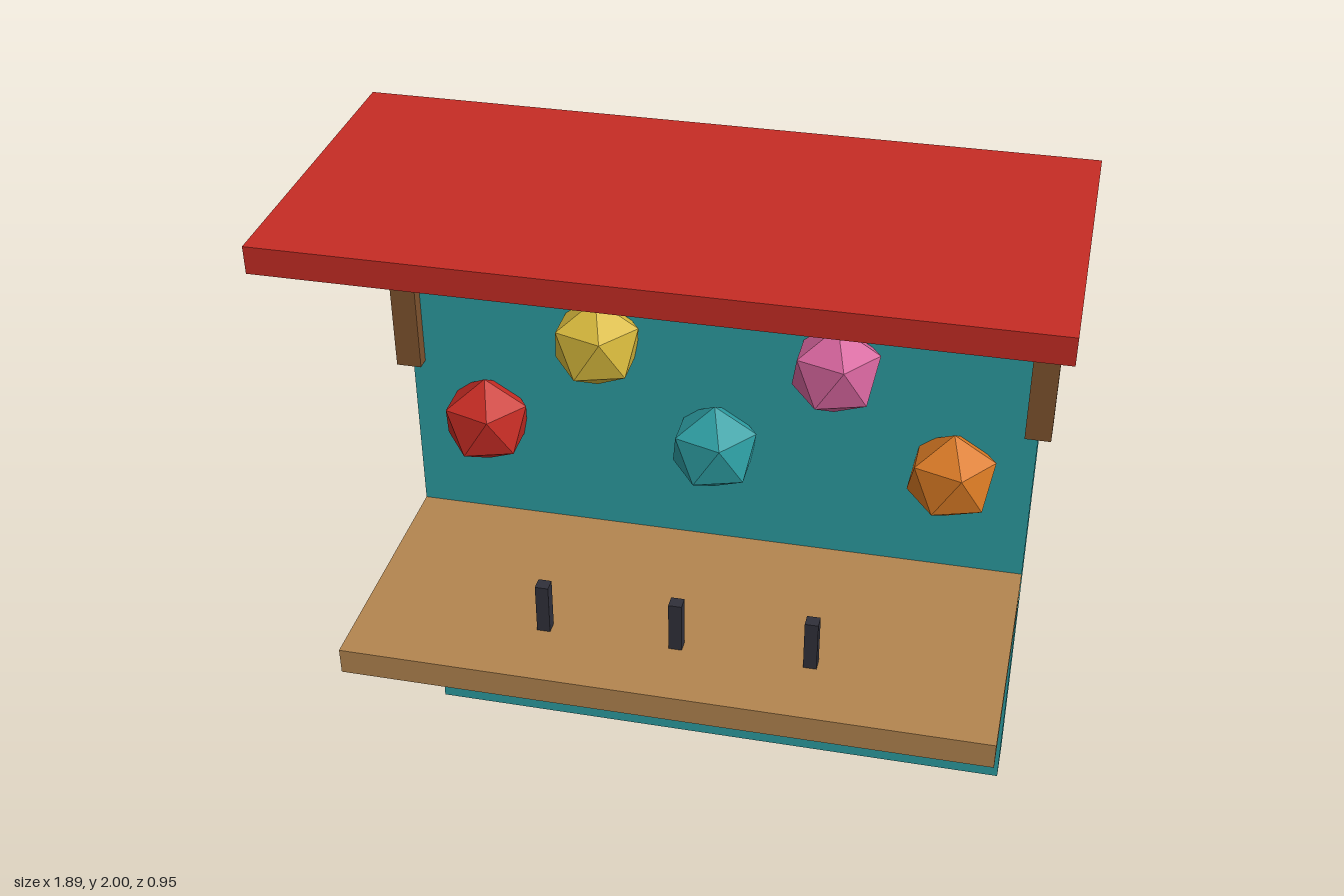
import * as THREE from 'three';

const paint = (name, color) => {
  const m = new THREE.MeshStandardMaterial({ color });
  m.name = name;
  return m;
};

export function createModel() {
  const red = paint('red', 0xc62c24);
  const teal = paint('teal', 0x2d9da2);
  const lightWood = paint('light wood', 0xb3854f);
  const darkWood = paint('dark wood', 0x7f532e);
  const charcoal = paint('charcoal', 0x30303a);
  const yellow = paint('yellow', 0xd6b83c);
  const pink = paint('pink', 0xd4649c);
  const orange = paint('orange', 0xd97a24);

  const model = new THREE.Group();
  model.name = 'balloonStall';

  const add = (name, geometry, material, x, y, z) => {
    const mesh = new THREE.Mesh(geometry, material);
    mesh.name = name;
    mesh.position.set(x, y, z);
    model.add(mesh);
  };
  // Box given by its limits on each axis
  const box = (name, material, [x0, x1], [y0, y1], [z0, z1]) =>
    add(name, new THREE.BoxGeometry(x1 - x0, y1 - y0, z1 - z0), material,
      (x0 + x1) / 2, (y0 + y1) / 2, (z0 + z1) / 2);

  // Back board, counter and awning
  box('backBoard', teal, [-0.872, 0.872], [0, 1.6], [-0.473, -0.328]);
  box('counter', lightWood, [-0.872, 0.872], [0.692, 0.766], [-0.33, 0.4]);
  box('awning', red, [-0.943, 0.943], [1.93, 2], [-0.4, 0.473]);

  // Awning posts
  for (const [name, x] of [['leftPost', 0.872], ['rightPost', -0.872]])
    box(name, darkWood, [x - 0.035, x + 0.035], [1.238, 1.932], [-0.363, -0.29]);

  // Darts standing on the counter
  for (const x of [-0.363, 0, 0.363])
    box('dart', charcoal, [x - 0.018, x + 0.018], [0.766, 0.911], [0.167, 0.203]);

  // Faceted balloons, turned to stand on a point
  const balloon = new THREE.IcosahedronGeometry(0.131, 0);
  balloon.rotateZ(-Math.atan(2 / (1 + Math.sqrt(5))));
  for (const [material, x, y] of [
    [yellow, -0.327, 1.383], [pink, 0.327, 1.383],
    [red, -0.654, 1.092], [teal, 0, 1.092], [orange, 0.654, 1.092],
  ]) add(material.name + 'Balloon', balloon, material, x, y, -0.29);

  return model;
}
